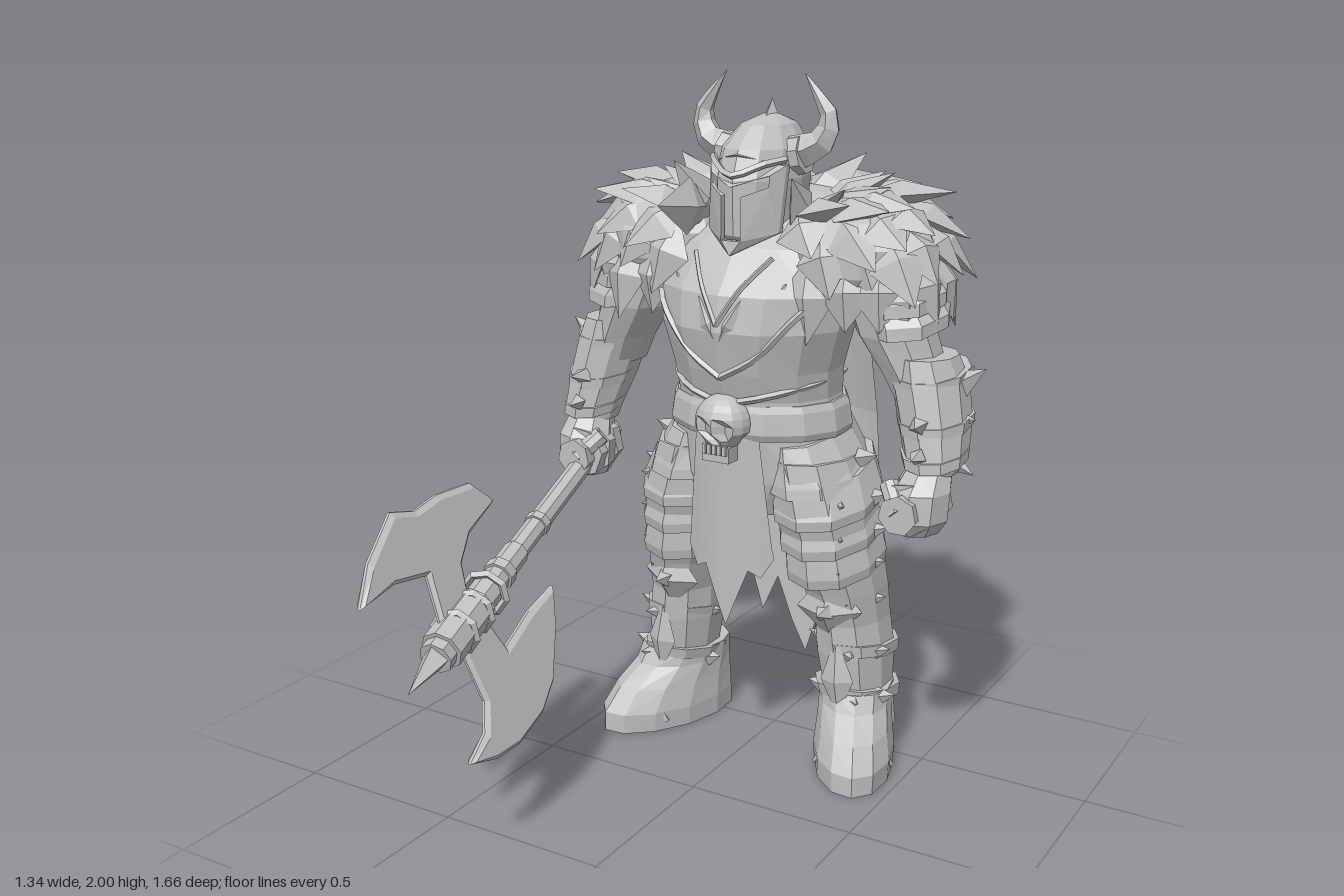
import * as THREE from 'three';

const V = (x, y, z) => new THREE.Vector3(x, y, z);
const steel = new THREE.MeshStandardMaterial({ color: 0xc0c0c0, flatShading: true, side: THREE.DoubleSide });
steel.name = 'plain grey';

function add(parent, name, geo) {
  const g = geo.index ? geo.toNonIndexed() : geo;
  g.computeVertexNormals();
  const m = new THREE.Mesh(g, steel);
  m.name = name;
  parent.add(m);
  return m;
}

// Closed skin over horizontal rings [x, y, z, rx, rz]; chevron drops the front and lifts the back of each ring
function loft(rows, n = 10, chevron = 0) {
  const pos = [], idx = [];
  for (const [x, y, z, rx, rz] of rows)
    for (let i = 0; i < n; i++) {
      const a = i / n * Math.PI * 2;
      pos.push(x + rx * Math.sin(a), y - chevron * Math.cos(a), z + rz * Math.cos(a));
    }
  const top = rows.length - 1, c = pos.length / 3;
  pos.push(...rows[0].slice(0, 3), ...rows[top].slice(0, 3));
  for (let i = 0; i < n; i++) {
    const j = (i + 1) % n;
    for (let r = 0; r < top; r++) {
      const a = r * n + i, b = r * n + j;
      idx.push(a, b, a + n, b, b + n, a + n);
    }
    idx.push(c, j, i, c + 1, top * n + i, top * n + j);
  }
  const g = new THREE.BufferGeometry();
  g.setAttribute('position', new THREE.Float32BufferAttribute(pos, 3));
  g.setIndex(idx);
  return g;
}

// Tube whose radius shrinks towards its end
function horn(points, r, segs, sides) {
  const curve = new THREE.CatmullRomCurve3(points);
  const g = new THREE.TubeGeometry(curve, segs, r, sides), p = g.attributes.position, v = V();
  for (let i = 0; i < p.count; i++) {
    const t = Math.floor(i / (sides + 1)) / segs;
    v.fromBufferAttribute(p, i).lerp(curve.getPointAt(t), t ** 1.3);
    p.setXYZ(i, v.x, v.y, v.z);
  }
  return g;
}
const trim = (points, r = 0.01) => new THREE.TubeGeometry(new THREE.CatmullRomCurve3(points, false, 'centripetal'), 10, r, 4);

// Unit parts that start at y = 0 and are aimed with put()
const spikeGeo = new THREE.ConeGeometry(1, 1, 4).translate(0, 0.5, 0);
const stickGeo = new THREE.CylinderGeometry(1, 1, 1, 8).translate(0, 0.5, 0);
const leafGeo = new THREE.LatheGeometry([[0, 0], [1, 0.45], [0, 1]].map(p => new THREE.Vector2(...p)), 4);
function put(parent, name, geo, at, dir, w, len, thick = w, normal = V(0.1, 0.3, 1)) {
  const m = add(parent, name, geo);
  const y = dir.clone().normalize(), x = y.clone().cross(normal).normalize();
  m.quaternion.setFromRotationMatrix(new THREE.Matrix4().makeBasis(x, y, x.clone().cross(y)));
  m.position.copy(at);
  m.scale.set(w, len, thick);
}

// Hanging cloth with a jagged hem
function cloth(hem, yTop, wTop, wBottom, zAt) {
  const cols = hem.length - 1, rows = 7;
  const g = new THREE.PlaneGeometry(1, 1, cols, rows), p = g.attributes.position;
  for (let i = 0; i < p.count; i++) {
    const c = i % (cols + 1), t = Math.floor(i / (cols + 1)) / rows;
    const body = yTop + (Math.max(...hem) + 0.03 - yTop) * t * rows / (rows - 1);
    const y = t === 1 ? hem[c] : body, x = (c / cols - 0.5) * 2 * (wTop + (wBottom - wTop) * t);
    p.setXYZ(i, x, y, zAt(x, y));
  }
  return g;
}

function buildHead(g) {
  add(g, 'helmet', loft([[0, 1.51, -0.37, 0.08, 0.11], [0, 1.57, -0.37, 0.112, 0.16], [0, 1.72, -0.38, 0.12, 0.175],
    [0, 1.8, -0.395, 0.11, 0.16], [0, 1.86, -0.41, 0.07, 0.105], [0, 1.885, -0.42, 0.02, 0.02]], 12));
  // Face plate with a T-shaped opening, wrapped round the helmet
  const face = new THREE.Shape([[-0.11, 1.58], [0, 1.52], [0.11, 1.58], [0.118, 1.76], [0, 1.79], [-0.118, 1.76]].map(p => new THREE.Vector2(...p)));
  face.holes.push(new THREE.Path([[-0.03, 1.56], [-0.03, 1.68], [-0.09, 1.705], [-0.09, 1.735], [0, 1.705],
    [0.09, 1.735], [0.09, 1.705], [0.03, 1.68], [0.03, 1.56]].map(p => new THREE.Vector2(...p))));
  const plate = new THREE.ExtrudeGeometry(face, { depth: 0.02, bevelEnabled: false }), p = plate.attributes.position;
  for (let i = 0; i < p.count; i++) p.setZ(i, p.getZ(i) - 0.21 - 6.5 * p.getX(i) ** 2 - Math.max(0, p.getY(i) - 1.72) * 0.3);
  add(g, 'facePlate', plate);
  add(g, 'browRidge', trim([V(-0.112, 1.775, -0.3), V(-0.075, 1.765, -0.245), V(0, 1.735, -0.198), V(0.075, 1.765, -0.245), V(0.112, 1.775, -0.3)]));
  put(g, 'crest', spikeGeo, V(0, 1.85, -0.42), V(0, 1, -0.1), 0.035, 0.075, 0.06);
  for (const s of [1, -1]) {
    put(g, 'hornSocket', stickGeo, V(s * 0.085, 1.775, -0.38), V(s, 0.2, 0), 0.055, 0.045);
    add(g, 'horn', horn([V(s * 0.1, 1.785, -0.38), V(s * 0.175, 1.815, -0.385), V(s * 0.198, 1.88, -0.39), V(s * 0.16, 1.945, -0.385), V(s * 0.12, 2, -0.385)], 0.05, 7, 5));
  }
}

function buildTorso(g) {
  add(g, 'torso', loft([[0, 0.78, -0.39, 0.2, 0.18], [0, 0.88, -0.39, 0.3, 0.2], [0, 1, -0.39, 0.265, 0.215], [0, 1.12, -0.38, 0.245, 0.215],
    [0, 1.2, -0.37, 0.25, 0.23], [0, 1.32, -0.36, 0.285, 0.245], [0, 1.42, -0.37, 0.3, 0.24], [0, 1.54, -0.4, 0.27, 0.18], [0, 1.62, -0.42, 0.14, 0.12]], 14));
  add(g, 'belt', loft([[0, 1.01, -0.385, 0.27, 0.22], [0, 1.03, -0.385, 0.276, 0.23], [0, 1.09, -0.385, 0.266, 0.225], [0, 1.11, -0.385, 0.255, 0.218]], 14));
  for (const s of [1, -1]) {
    add(g, 'chestTrim', trim([V(0, 1.19, -0.14), V(s * 0.1, 1.25, -0.15), V(s * 0.2, 1.36, -0.18), V(s * 0.25, 1.42, -0.24)]));
    add(g, 'collarTrim', trim([V(0, 1.34, -0.115), V(s * 0.06, 1.44, -0.145), V(s * 0.12, 1.52, -0.215)], 0.007));
    add(g, 'waistTrim', trim([V(0, 1.11, -0.16), V(s * 0.12, 1.14, -0.18), V(s * 0.23, 1.17, -0.31), V(s * 0.2, 1.16, -0.52)]));
    put(g, 'breastplate', leafGeo, V(s * 0.02, 1.24, -0.16), V(s * 0.7, 1, -0.18), 0.075, 0.27, 0.04);
    put(g, 'chestEmblem', leafGeo, V(0, 1.28, -0.125), V(s * 0.5, 1, -0.1), 0.025, 0.15, 0.02);
  }
  // Skull buckle with sunken eyes and nose
  const skull = new THREE.SphereGeometry(1, 16, 12), p = skull.attributes.position, v = V();
  for (let i = 0; i < p.count; i++) {
    v.fromBufferAttribute(p, i);
    const hole = v.z > 0 && (Math.hypot(Math.abs(v.x) - 0.42, v.y + 0.05) < 0.27 || Math.hypot(v.x, v.y + 0.45) < 0.15);
    const jaw = v.y < -0.3 ? 0.8 : 1;
    p.setXYZ(i, v.x * 0.083 * jaw, 1.06 + v.y * (v.y < 0 ? 0.085 : 0.08), -0.165 + v.z * 0.072 * (hole ? 0.7 : 1));
  }
  add(g, 'skull', skull);
  add(g, 'skullJaw', new THREE.BoxGeometry(0.085, 0.045, 0.06)).position.set(0, 0.975, -0.15);
  for (let i = -2; i <= 2; i++) add(g, 'tooth', new THREE.BoxGeometry(0.011, 0.028, 0.012)).position.set(i * 0.016, 0.99, -0.115);
  // Cloths are bowed across their width
  add(g, 'frontCloth', cloth([0.66, 0.6, 0.62, 0.53, 0.44, 0.53, 0.62, 0.6, 0.66], 1.03, 0.1, 0.14, (x, y) => -0.165 - 0.03 * (1.03 - y) - 2 * x * x));
  add(g, 'cape', cloth([0.46, 0.38, 0.48, 0.28, 0.4, 0.26, 0.16, 0.32, 0.24, 0.38, 0.48, 0.34, 0.46], 1.5, 0.22, 0.3,
    (x, y) => -0.63 - 0.075 * Math.min(1, (1.5 - y) / 0.5) + (0.5 + 0.5 * y) * x * x));
}

// Fur mantle: rows of overlapping leaf tufts around the shoulders
function buildMantle(g) {
  for (const s of [1, -1]) add(g, 'shoulderFur', new THREE.SphereGeometry(1, 10, 7).scale(0.22, 0.17, 0.19).translate(s * 0.3, 1.52, -0.4));
  add(g, 'backFur', new THREE.SphereGeometry(1, 12, 7).scale(0.36, 0.19, 0.24).translate(0, 1.5, -0.52));
  const profile = new THREE.CatmullRomCurve3([V(0.35, 1.64, 0), V(0.65, 1.68, 0), V(0.88, 1.63, 0), V(1, 1.53, 0), V(1.02, 1.4, 0)]);
  const surface = (a, t) => {
    const k = profile.getPoint(Math.min(t, 1)), c = Math.cos(a), x = 0.5 * k.x * Math.sin(a);
    return V(Math.sign(x) * Math.max(Math.abs(x), c > 0 ? 0.15 : 0), k.y - 0.07 * Math.max(0, c) * (1 - t), -0.42 + k.x * (c > 0 ? 0.2 * Math.sqrt(c) : 0.33 * c));
  };
  [12, 15, 17, 20, 22].forEach((count, r) => {
    const t = 0.03 + r * 0.2;
    for (let i = 0; i < count; i++) {
      const a = 0.45 + (i + (r % 2) * 0.4) / (count - 0.6) * (Math.PI * 2 - 0.9);
      const at = surface(a, t), down = surface(a, t + 0.05).sub(at).normalize();
      const n = surface(a + 0.03, t).sub(surface(a - 0.03, t)).cross(down).normalize();
      if (n.dot(at.clone().sub(V(0, 1.4, -0.42))) < 0) n.negate();
      const lift = Math.cos(a) > 0.3 ? 0.1 : r < 2 ? 0.08 : 0.26;
      const dir = down.clone().addScaledVector(n, lift + 0.08 * Math.sin(i * 2.4 + r));
      put(g, 'furTuft', leafGeo, at.addScaledVector(dir, -0.05), dir, 0.08, (r < 2 ? 0.25 : 0.21) + 0.03 * Math.sin(i * 4.1 + r * 2), 0.035, n);
    }
  });
}

function buildArm(g) {
  add(g, 'upperArm', loft([[0.5, 1.14, -0.4, 0.08, 0.1], [0.47, 1.22, -0.39, 0.09, 0.11], [0.42, 1.32, -0.38, 0.11, 0.12], [0.36, 1.48, -0.4, 0.12, 0.14]]));
  // Layered shoulder plates flaring outwards below the fur
  for (let i = 0; i < 2; i++)
    add(g, 'shoulderPlate', loft([[0.45 - i * 0.01, 1.35 + i * 0.06, -0.385, 0.115, 0.14], [0.445 - i * 0.01, 1.385 + i * 0.06, -0.385, 0.12, 0.14], [0.4, 1.47 + i * 0.04, -0.4, 0.1, 0.12]], 8, 0.03));
  add(g, 'bracer', loft([[0.555, 0.96, -0.34, 0.072, 0.085], [0.56, 1, -0.35, 0.087, 0.1], [0.54, 1.1, -0.38, 0.1, 0.12], [0.515, 1.2, -0.395, 0.105, 0.125], [0.5, 1.27, -0.39, 0.09, 0.11]]));
  for (const [x, y, z, r] of [[0.56, 0.99, -0.345, 0.092], [0.545, 1.08, -0.375, 0.105], [0.515, 1.2, -0.395, 0.11]])
    add(g, 'bracerBand', loft([[x, y, z, r * 0.95, r * 1.13], [x - 0.004, y + 0.03, z - 0.005, r, r * 1.18]], 10, 0.02));
  for (const [x, y, z, dx, dy, dz, w, l] of [[0.58, 1.18, -0.4, 1, 0.7, -0.1, 0.05, 0.11], [0.54, 1.18, -0.5, 0.3, 0.2, -1, 0.045, 0.1], [0.6, 0.99, -0.36, 1, -0.5, 0, 0.03, 0.075],
    [0.54, 1.1, -0.27, 0.2, 0.1, 1, 0.03, 0.06], [0.6, 1.1, -0.38, 1, 0.1, 0, 0.03, 0.06], [0.55, 1.02, -0.25, 0, 0, 1, 0.025, 0.05], [0.55, 1.08, -0.48, 0.2, 0, -1, 0.03, 0.06]])
    put(g, 'bracerSpike', spikeGeo, V(x, y, z), V(dx, dy, dz), w, l);
  add(g, 'fist', loft([[0.54, 0.8, -0.29, 0.06, 0.07], [0.545, 0.84, -0.285, 0.082, 0.09], [0.55, 0.92, -0.29, 0.08, 0.09], [0.555, 0.98, -0.33, 0.062, 0.075]], 8));
  [0.05, 0.072, 0.08, 0.08].forEach((r, i) => {
    const finger = add(g, 'finger', new THREE.CylinderGeometry(r, r + 0.006, 0.042, 7));
    finger.rotation.set(-Math.PI / 2, 0.3 * i, 0);
    finger.position.set(0.525 + i * 0.004, 0.868 + i * 0.004, -0.2 - i * 0.044);
  });
  put(g, 'thumb', stickGeo, V(0.47, 0.93, -0.25), V(0.5, -0.6, 0.5), 0.028, 0.1);
}

function buildLeg(g) {
  add(g, 'leg', loft([[0.315, 0.1, -0.46, 0.1, 0.12], [0.3, 0.22, -0.46, 0.1, 0.13], [0.29, 0.35, -0.455, 0.112, 0.145], [0.28, 0.45, -0.45, 0.108, 0.145],
    [0.265, 0.55, -0.43, 0.12, 0.155], [0.24, 0.65, -0.41, 0.135, 0.175], [0.215, 0.8, -0.39, 0.15, 0.195], [0.18, 0.95, -0.385, 0.13, 0.185]]));
  // Boot turned outwards
  const turnOut = geo => geo.rotateY(0.42).translate(0.325, 0, -0.39);
  add(g, 'boot', turnOut(loft([[0, 0, 0, 0.117, 0.238], [0, 0.06, 0, 0.12, 0.236], [0, 0.13, -0.025, 0.112, 0.205], [0, 0.19, -0.06, 0.108, 0.162], [0, 0.24, -0.072, 0.112, 0.145]], 12)));
  add(g, 'toeTrim', turnOut(trim([V(-0.112, 0.03, 0.08), V(-0.06, 0.125, 0.12), V(0, 0.145, 0.135), V(0.06, 0.125, 0.12), V(0.112, 0.03, 0.08)], 0.008)));
  // Hip guard, overlapping thigh plates, then shin bands
  add(g, 'hipGuard', loft([[0.19, 0.88, -0.385, 0.148, 0.198], [0.185, 0.91, -0.385, 0.146, 0.195], [0.16, 1.02, -0.385, 0.1, 0.17]], 10, 0.03));
  for (let i = 0; i < 3; i++) {
    const y = 0.62 + i * 0.09, x = 0.242 - i * 0.012;
    add(g, 'thighPlate', loft([[x, y, -0.41 + i * 0.009, 0.138 + i * 0.007, 0.18 + i * 0.008], [x, y + 0.03, -0.405 + i * 0.007, 0.141 + i * 0.007, 0.183 + i * 0.008],
      [x - 0.01, y + 0.12, -0.4, 0.13, 0.175]], 10, 0.04));
  }
  for (const y of [0.2, 0.34])
    add(g, 'shinBand', loft([[0.315 - y * 0.06, y, -0.46, 0.118, 0.147], [0.31 - y * 0.06, y + 0.035, -0.46, 0.123, 0.152]], 10, -0.02));
  put(g, 'kneePlate', leafGeo, V(0.27, 0.4, -0.33), V(-0.03, 1, 0.1), 0.1, 0.22, 0.055);
  put(g, 'kneeSpike', spikeGeo, V(0.27, 0.5, -0.285), V(0, 0.1, 1), 0.03, 0.055);
  put(g, 'shinRidge', leafGeo, V(0.305, 0.17, -0.315), V(-0.05, 1, 0), 0.05, 0.25, 0.025);
  for (const [x, y] of [[0.32, 0.94], [0.36, 0.83], [0.36, 0.73], [0.355, 0.63], [0.36, 0.52], [0.38, 0.36], [0.4, 0.22]]) {
    put(g, 'legSpike', spikeGeo, V(x - 0.01, y, -0.4), V(1, 0.3, 0), 0.03, 0.06);
    if (y < 0.9) put(g, 'legSpike', spikeGeo, V(x - 0.06, y, -0.29 - (y < 0.55 ? 0.05 : 0)), V(0.8, 0.2, 1), 0.025, 0.05);
  }
  for (const y of [0.2, 0.36]) put(g, 'innerSpike', spikeGeo, V(0.2, y, -0.43), V(-1, 0.3, 0.2), 0.028, 0.05);
}

function buildAxe(g) {
  const axis = z => V(-0.488 + 0.147 * z, 0.767 - 0.324 * z, z), dir = V(0.147, -0.324, 1), k = dir.length();
  put(g, 'shaft', stickGeo, axis(-0.4), dir, 0.032, 0.95 * k);
  for (const [z, len, r] of [[-0.41, 0.04, 0.042], [0.06, 0.025, 0.038], [0.2, 0.14, 0.038], [0.28, 0.03, 0.046], [0.36, 0.07, 0.045], [0.43, 0.18, 0.06], [0.6, 0.04, 0.048]])
    put(g, 'shaftCollar', stickGeo, axis(z), dir, r, len * k);
  for (const z of [0.38, 0.46, 0.54]) put(g, 'headWrap', new THREE.TorusGeometry(1, 0.2, 4, 8).rotateX(Math.PI / 2), axis(z), dir.clone().add(V(0.2, 0.25, 0)), 0.06, 0.06);
  put(g, 'axeTip', spikeGeo, axis(0.62), dir, 0.045, 0.155 * k);
  // Blades are drawn as (z, y) outlines and leaned across the shaft
  const blades = {
    upperBlade: [[0.59, 0.58], [0.57, 0.75], [0.69, 0.765], [0.83, 0.745], [0.75, 0.835], [0.615, 0.925], [0.53, 0.905], [0.43, 0.92], [0.29, 0.915], [0.22, 0.85], [0.36, 0.8], [0.43, 0.74], [0.46, 0.61]],
    lowerBlade: [[0.55, 0.59], [0.53, 0.41], [0.57, 0.34], [0.66, 0.295], [0.56, 0.27], [0.46, 0.27], [0.33, 0.305], [0.245, 0.36], [0.155, 0.48], [0.11, 0.58], [0.245, 0.55], [0.38, 0.5], [0.43, 0.62]],
  };
  for (const [name, pts] of Object.entries(blades)) {
    const geo = new THREE.ExtrudeGeometry(new THREE.Shape(pts.map(q => new THREE.Vector2(...q))),
      { depth: 0.008, bevelThickness: 0.01, bevelSize: 0.012, bevelOffset: -0.012, bevelSegments: 1 });
    const p = geo.attributes.position;
    for (let i = 0; i < p.count; i++) {
      const z = p.getX(i), y = p.getY(i), a = axis(z);
      p.setXYZ(i, a.x - 0.42 * (y - a.y) - p.getZ(i) + 0.004, y, z);
    }
    add(g, name, geo);
  }
}

export function createModel() {
  const model = new THREE.Group();
  model.name = 'hornedWarrior';
  const part = (name, build, mirror = false) => {
    const g = new THREE.Group();
    g.name = name;
    build(g);
    if (mirror) g.scale.x = -1;
    model.add(g);
  };
  part('head', buildHead);
  part('body', buildTorso);
  part('furMantle', buildMantle);
  part('leftArm', buildArm);
  part('rightArm', buildArm, true);
  part('leftLeg', buildLeg);
  part('rightLeg', buildLeg, true);
  part('axe', buildAxe);
  return model;
}
